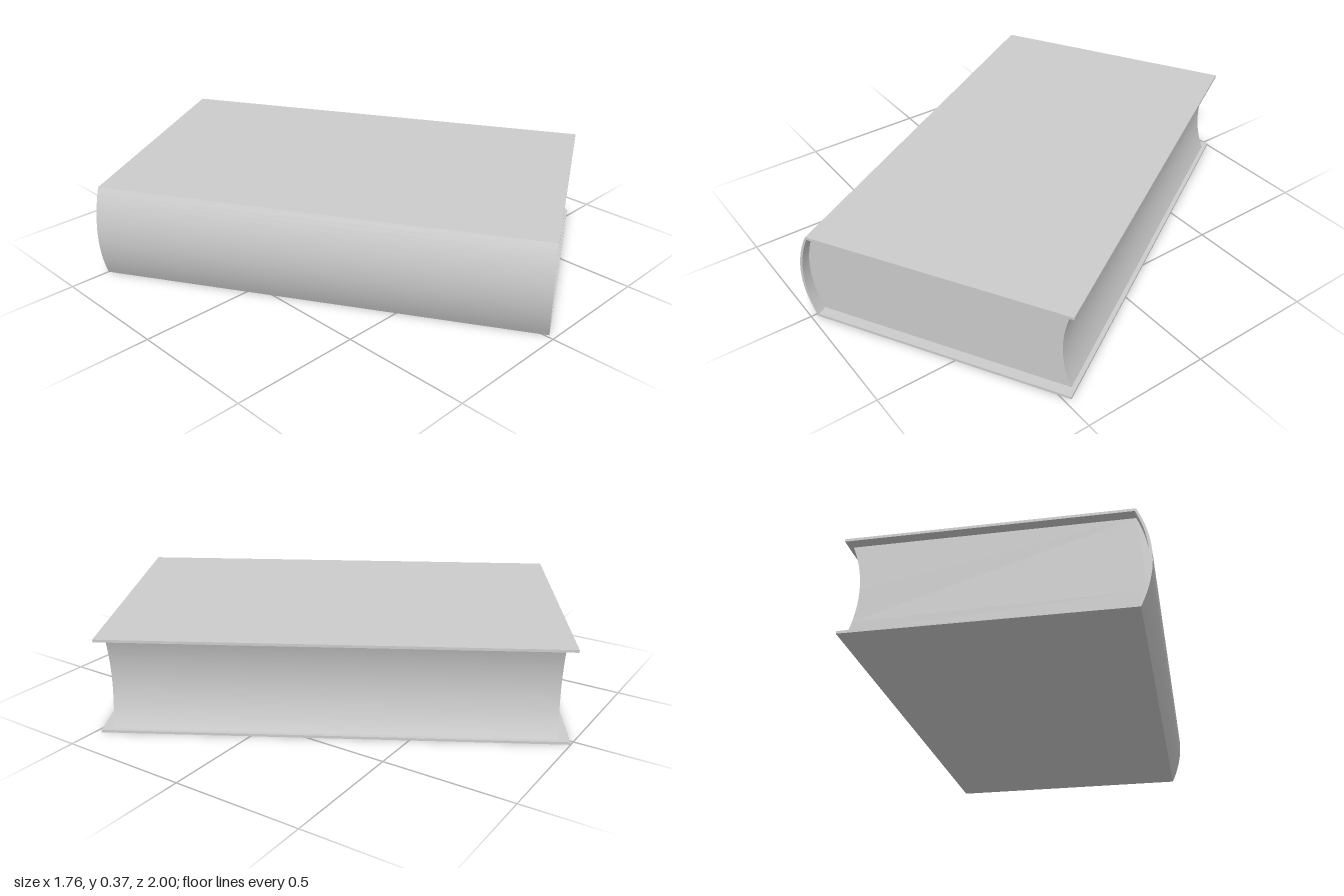
import * as THREE from 'three';
import { toCreasedNormals } from 'three/addons/utils/BufferGeometryUtils.js';

const HEIGHT = 0.367;   // closed thickness of the book
const BOARD = 0.01;     // cover thickness
const SPINE_X = -0.478; // where the covers meet the rounded spine
const BULGE = 0.045;    // how far the spine swells outward
const EDGE_X = 0.5225;  // free edge of the covers

// Extrudes a cross-section along z, centred, keeping curves smooth and edges sharp
function extrude(name, shape, length, material) {
  const raw = new THREE.ExtrudeGeometry(shape, { depth: length, bevelEnabled: false, curveSegments: 20 });
  raw.translate(0, 0, -length / 2);
  const mesh = new THREE.Mesh(toCreasedNormals(raw, 0.5), material);
  mesh.name = name;
  return mesh;
}

export function createModel() {
  const book = new THREE.Group();
  book.name = 'book';
  const material = new THREE.MeshStandardMaterial({ color: 0xcccccc });
  const mid = HEIGHT / 2;
  const low = BOARD, high = HEIGHT - BOARD;
  const innerX = SPINE_X + 0.004;
  const innerControl = innerX - 2 * (BULGE - 0.006);

  // Cover: two flat boards joined by a rounded spine, as one thin C-shaped section
  const cover = new THREE.Shape();
  cover.moveTo(EDGE_X, 0);
  cover.lineTo(EDGE_X, low);
  cover.lineTo(innerX, low);
  cover.quadraticCurveTo(innerControl, mid, innerX, high);
  cover.lineTo(EDGE_X, high);
  cover.lineTo(EDGE_X, HEIGHT);
  cover.lineTo(SPINE_X, HEIGHT);
  cover.quadraticCurveTo(SPINE_X - 2 * BULGE, mid, SPINE_X, 0);
  cover.closePath();
  book.add(extrude('cover', cover, 1.704, material));

  // Page block: rounded against the spine, hollowed at the fore edge, inset from the boards
  const pageX = 0.506;
  const pages = new THREE.Shape();
  pages.moveTo(innerX, low);
  pages.lineTo(pageX, low);
  pages.quadraticCurveTo(pageX - 0.07, mid, pageX, high);
  pages.lineTo(innerX, high);
  pages.quadraticCurveTo(innerControl, mid, innerX, low);
  book.add(extrude('pages', pages, 1.622, material));

  // The book lies turned on its back cover
  book.rotation.y = Math.PI / 6;
  const model = new THREE.Group();
  model.add(book);
  return model;
}
